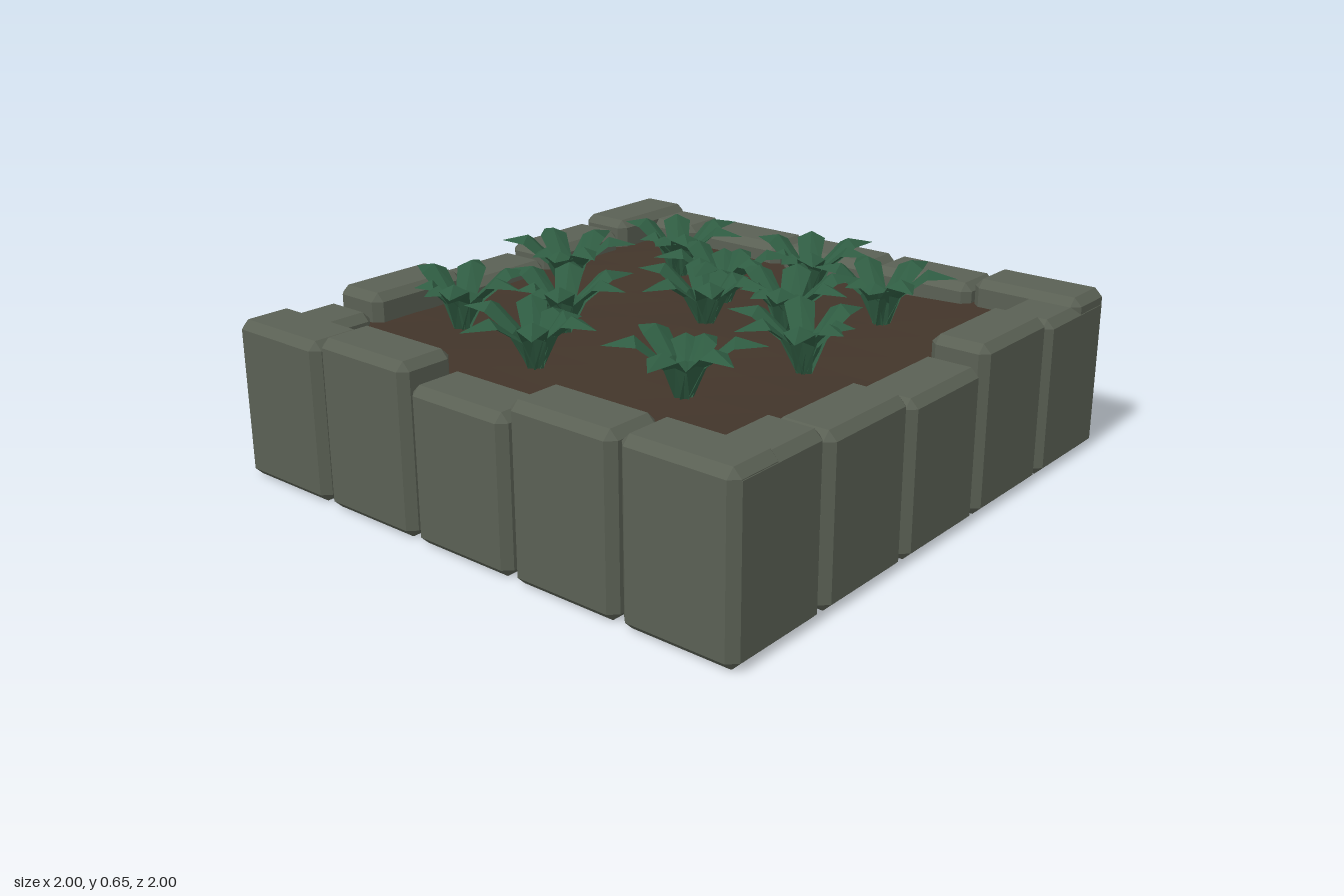
import * as THREE from 'three';
import { ConvexGeometry } from 'three/addons/geometries/ConvexGeometry.js';

const mat = (color, side = THREE.FrontSide) =>
  new THREE.MeshStandardMaterial({ color, flatShading: true, side });

// Box standing on y = 0 with every edge cut by a flat chamfer
function chamferedBlock(w, h, d, c) {
  const points = [];
  for (const sx of [-1, 1]) for (const sy of [-1, 1]) for (const sz of [-1, 1]) {
    for (const [a, b, e] of [[0, c, c], [c, 0, c], [c, c, 0]]) {
      points.push(new THREE.Vector3(sx * (w / 2 - a), h / 2 + sy * (h / 2 - b), sz * (d / 2 - e)));
    }
  }
  return new ConvexGeometry(points);
}

// Arching pointed leaf along +x, folded along a raised midrib
function leafGeometry(reach, height) {
  // [distance out, height, half width, midrib rise]
  const sections = [
    [0.05, 0, 0.1, 0.0],
    [0.25, 0.58, 0.15, 0.006],
    [0.6, 0.96, 0.2, 0.012],
    [1, 0.88, 0, 0],
  ];
  const positions = [], index = [];
  for (const [r, y, w, rib] of sections) {
    for (const s of [-1, 0, 1]) {
      positions.push(r * reach, y * height + (s === 0 ? rib : -rib), s * w * 0.24);
    }
  }
  for (let i = 0; i < sections.length - 1; i++) {
    for (let j = 0; j < 2; j++) {
      const a = i * 3 + j, b = a + 3;
      index.push(a, a + 1, b, a + 1, b + 1, b);
    }
  }
  const geometry = new THREE.BufferGeometry();
  geometry.setAttribute('position', new THREE.Float32BufferAttribute(positions, 3));
  geometry.setIndex(index);
  geometry.computeVertexNormals();
  return geometry;
}

export function createModel() {
  const model = new THREE.Group();
  model.name = 'plantedBed';
  const stone = mat(0x5a6054);
  const earth = mat(0x42352a);
  const green = mat(0x2f5c42, THREE.DoubleSide);

  // Four walls of five stone blocks, heights listed from low to high x or z
  const walls = [
    { name: 'frontWall', along: 'x', side: 1, heights: [0.53, 0.556, 0.5, 0.555, 0.56] },
    { name: 'backWall', along: 'x', side: -1, heights: [0.53, 0.53, 0.53, 0.53, 0.557] },
    { name: 'leftWall', along: 'z', side: 1, heights: [0.53, 0.555, 0.5, 0.53, 0.556] },
    { name: 'rightWall', along: 'z', side: -1, heights: [0.556, 0.53, 0.5, 0.55, 0.5] },
  ];
  for (const { name, along, side, heights } of walls) {
    const wall = new THREE.Group();
    wall.name = name;
    heights.forEach((h, i) => {
      const t = (i - 2) * 0.402, out = side * 0.899;
      const inX = along === 'x';
      const block = new THREE.Mesh(
        chamferedBlock(inX ? 0.389 : 0.202, h, inX ? 0.202 : 0.389, 0.027), stone);
      block.name = 'stoneBlock';
      block.position.set(inX ? t : out, 0, inX ? out : t);
      wall.add(block);
    });
    model.add(wall);
  }

  // Soil with a gently uneven top
  const soilTop = 0.45;
  const soilGeometry = new THREE.BoxGeometry(1.74, soilTop, 1.74, 8, 1, 8);
  soilGeometry.translate(0, soilTop / 2 + 0.005, 0);
  const p = soilGeometry.attributes.position;
  for (let i = 0; i < p.count; i++) {
    if (p.getY(i) > 0.1) {
      p.setY(i, p.getY(i) + 0.012 * Math.sin(p.getX(i) * 5 + 1) * Math.cos(p.getZ(i) * 4));
    }
  }
  soilGeometry.computeVertexNormals();
  const soil = new THREE.Mesh(soilGeometry, earth);
  soil.name = 'soil';
  model.add(soil);

  // Leaves of one plant: [angle in degrees, reach, height]
  const leaves = [
    [-133, 0.25, 0.19], [-77, 0.26, 0.185], [-18, 0.24, 0.195], [42, 0.22, 0.19],
    [84, 0.15, 0.165], [121, 0.15, 0.17], [177, 0.245, 0.19],
  ].map(([angle, reach, height]) => ({ angle, geometry: leafGeometry(reach, height) }));

  // Plants: [x, z, turn in degrees]
  const plants = [
    [-0.4, -0.47, 0], [0.1, -0.57, 10], [0.47, -0.46, -10], [-0.08, -0.32, 150],
    [0.28, -0.19, 20], [0.03, -0.09, 180], [-0.58, -0.08, -20], [0.54, 0.07, -115],
    [-0.28, 0.26, 8], [-0.55, 0.45, 10], [-0.11, 0.56, 180], [0.4, 0.47, 150],
  ];
  for (const [x, z, turn] of plants) {
    const plant = new THREE.Group();
    plant.name = 'plant';
    plant.position.set(x, soilTop, z);
    plant.rotation.y = -THREE.MathUtils.degToRad(turn);
    for (const { angle, geometry } of leaves) {
      const leaf = new THREE.Mesh(geometry, green);
      leaf.name = 'leaf';
      leaf.rotation.y = -THREE.MathUtils.degToRad(angle);
      plant.add(leaf);
    }
    model.add(plant);
  }
  return model;
}
